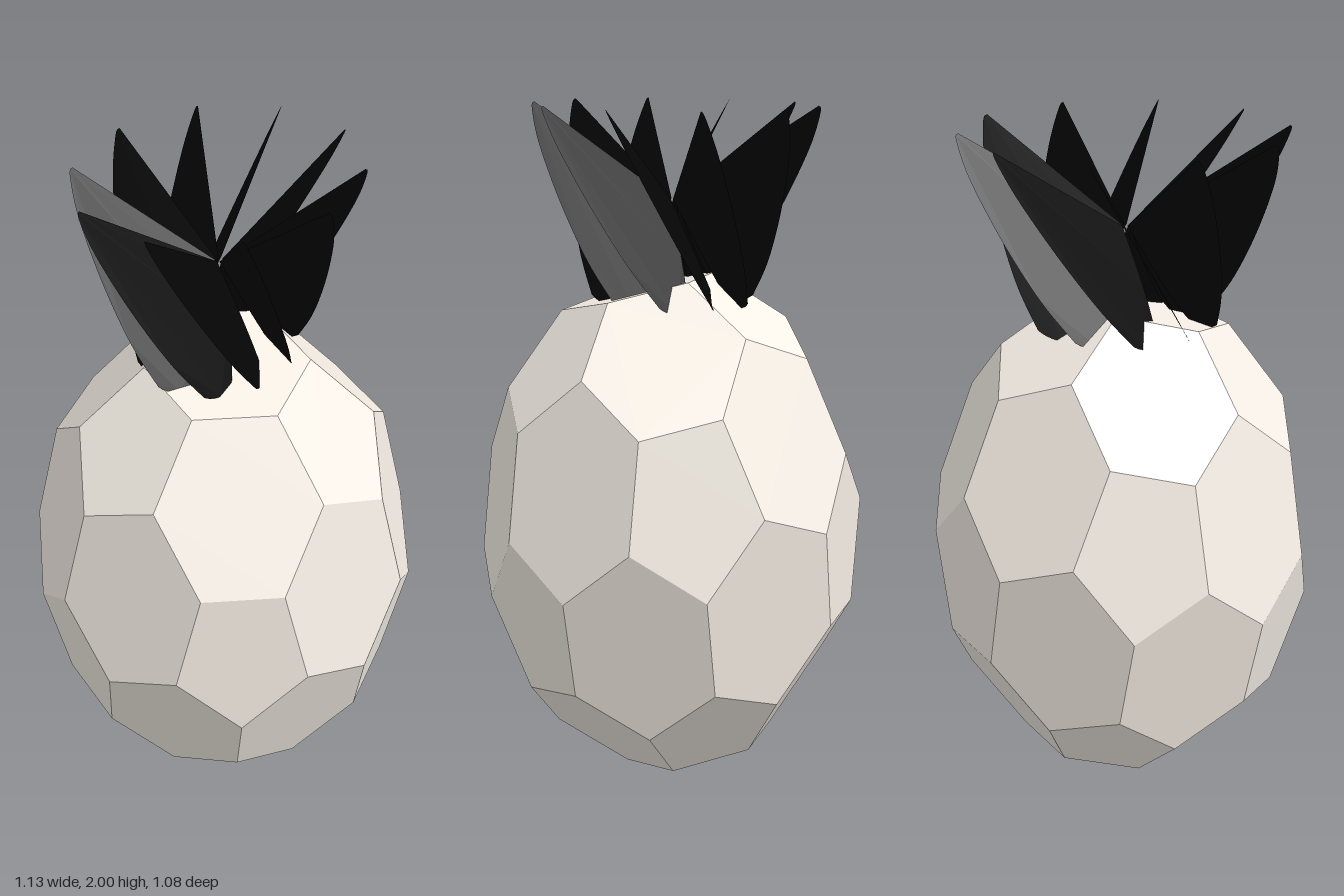
import * as THREE from 'three';
import { ConvexGeometry } from 'three/addons/geometries/ConvexGeometry.js';

// Faceted fruit: a truncated icosahedron, tilted about x and stretched in y
function makeBody() {
  const phi = (1 + Math.sqrt(5)) / 2;
  const seeds = [[0, 1, 3 * phi], [1, 2 + phi, 2 * phi], [phi, 2, 2 * phi + 1]];
  const points = [];
  for (const s of seeds) {
    for (let shift = 0; shift < 3; shift++) {
      const p = [0, 1, 2].map(i => s[(i + shift) % 3]);
      for (let signs = 0; signs < 8; signs++) {
        if (p.some((c, i) => c === 0 && signs >> i & 1)) continue;
        points.push(new THREE.Vector3(...p.map((c, i) => (signs >> i & 1 ? -c : c))));
      }
    }
  }
  const geometry = new ConvexGeometry(points);
  geometry.rotateX(Math.atan(1 / phi));
  geometry.scale(0.1162, 0.158, 0.1162);
  geometry.translate(0, 0.755, 0);
  geometry.computeVertexNormals();
  const body = new THREE.Mesh(geometry,
    new THREE.MeshStandardMaterial({ color: 0xf6efe6, flatShading: true }));
  body.name = 'fruitBody';
  return body;
}

// Blade outline: x runs outward from the stem, y sideways and down
function leafShape() {
  const shape = new THREE.Shape();
  shape.moveTo(0.012, 0);
  shape.lineTo(0.425, 0);
  shape.splineThru([[0.43, 0.012], [0.4, 0.055], [0.325, 0.115], [0.235, 0.168], [0.15, 0.2]]
    .map(p => new THREE.Vector2(...p)));
  shape.quadraticCurveTo(0.1, 0.2, 0.05, 0.175);
  shape.quadraticCurveTo(0.01, 0.14, 0.012, 0);
  return shape;
}

// Crown of ten steep blades around a slightly skewed ring
function makeCrown() {
  const crown = new THREE.Group();
  crown.name = 'leafCrown';
  const material = new THREE.MeshStandardMaterial({ color: 0x050505, side: THREE.DoubleSide });
  const shape = leafShape();
  const ring = a => new THREE.Vector3(
    -0.049 * Math.cos(a) + 0.93 * Math.sin(a), 0,
    -1.0 * Math.cos(a) - 0.223 * Math.sin(a));
  for (let k = 0; k < 10; k++) {
    const a = k * Math.PI / 5;
    const outward = ring(a).setY(0.65);
    const sideways = ring(a - Math.PI / 2).setY(-1.85);
    const normal = new THREE.Vector3().crossVectors(outward, sideways).normalize();
    const geometry = new THREE.ShapeGeometry(shape, 8);
    geometry.applyMatrix4(new THREE.Matrix4()
      .makeBasis(outward, sideways, normal).setPosition(-0.015, 1.722, 0));
    geometry.computeVertexNormals();
    const leaf = new THREE.Mesh(geometry, material);
    leaf.name = 'leaf' + (k + 1);
    crown.add(leaf);
  }
  return crown;
}

export function createModel() {
  const model = new THREE.Group();
  model.name = 'pineapple';
  model.add(makeBody(), makeCrown());
  return model;
}
